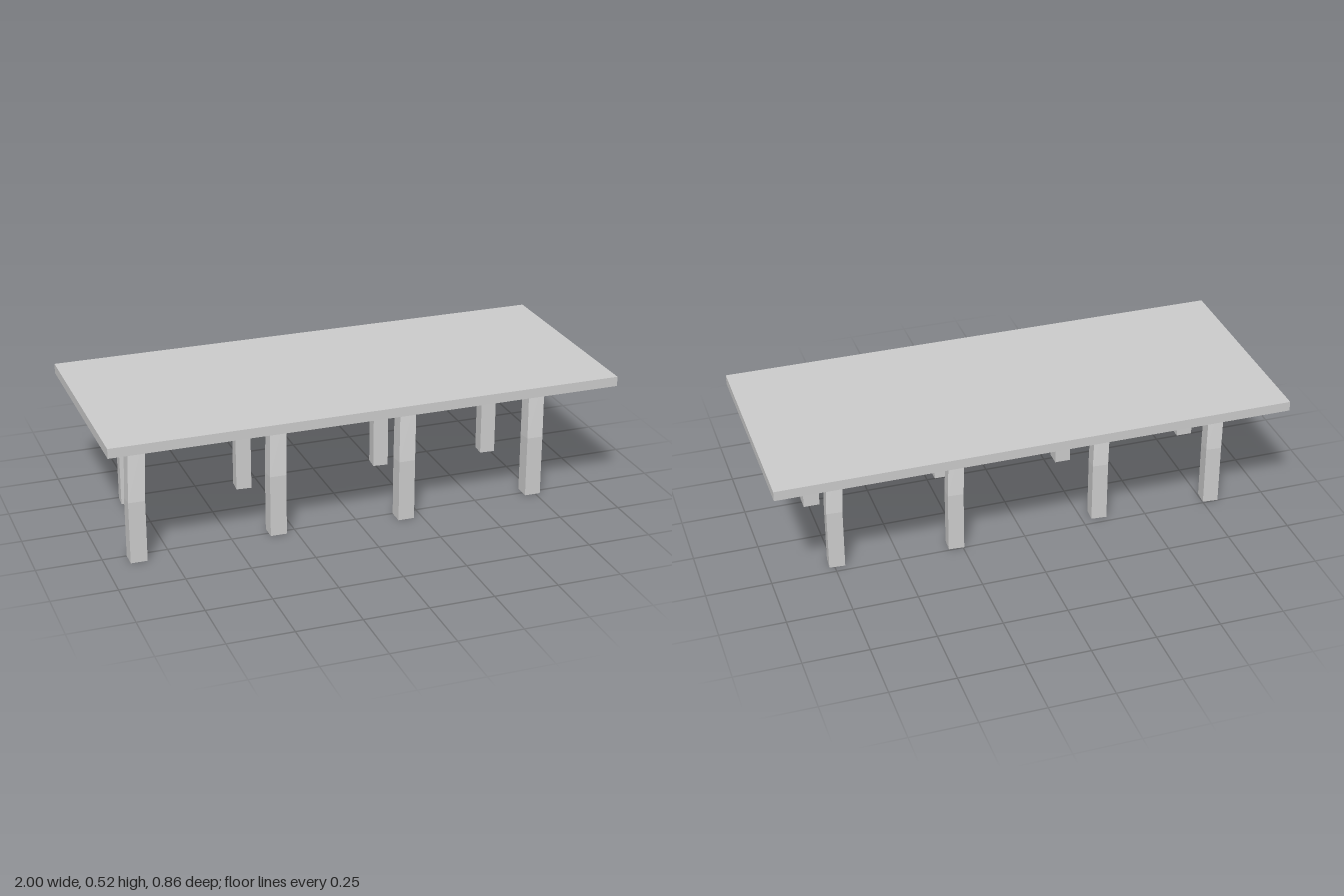
import * as THREE from 'three';

const material = new THREE.MeshStandardMaterial({ color: 0xcccccc, flatShading: true });
const UNDERSIDE = 0.487, HEIGHT = 0.525, KNEE = 0.242;

// Square post, upright to the knee, then leaning by (dx, dz) up to the tabletop.
function bentLeg(width, dx, dz, lowerTurn, upperTurn) {
  const geo = new THREE.BoxGeometry(width, 2, width, 1, 2, 1);
  const p = geo.attributes.position;
  for (let i = 0; i < p.count; i++) {
    const level = Math.round(p.getY(i)); // -1 foot, 0 knee, 1 top
    const turn = level === 1 ? upperTurn : lowerTurn;
    const c = Math.cos(turn), s = Math.sin(turn);
    const x = p.getX(i) * c - p.getZ(i) * s;
    const z = p.getX(i) * s + p.getZ(i) * c;
    if (level < 0) p.setXYZ(i, x, 0, z);
    else if (level === 0) p.setXYZ(i, x, KNEE - 0.1 * Math.sign(dz) * z, z); // mitred knee
    else p.setXYZ(i, x + dx, UNDERSIDE, z + dz);
  }
  geo.computeVertexNormals();
  return geo;
}

export function createModel() {
  const group = new THREE.Group();

  // Tabletop
  const thickness = HEIGHT - UNDERSIDE;
  const top = new THREE.Mesh(new THREE.BoxGeometry(2, thickness, 0.862), material);
  top.name = 'tabletop';
  top.position.y = UNDERSIDE + thickness / 2;
  group.add(top);

  // Staggered legs, two rows of four, each row leaning inward
  const rows = [
    { name: 'frontLeg', geo: bentLeg(0.064, 0.019, -0.04, 0.01, 0.04),
      spots: [[-0.875, 0.282], [-0.32, 0.244], [0.185, 0.282], [0.738, 0.244]] },
    { name: 'backLeg', geo: bentLeg(0.061, -0.02, 0.036, 0.08, 0.1),
      spots: [[-0.784, -0.216], [-0.32, -0.191], [0.273, -0.216], [0.738, -0.191]] },
  ];
  for (const { name, geo, spots } of rows) {
    spots.forEach(([x, z], i) => {
      const leg = new THREE.Mesh(geo, material);
      leg.name = name + (i + 1);
      leg.position.set(x, 0, z);
      group.add(leg);
    });
  }
  return group;
}
